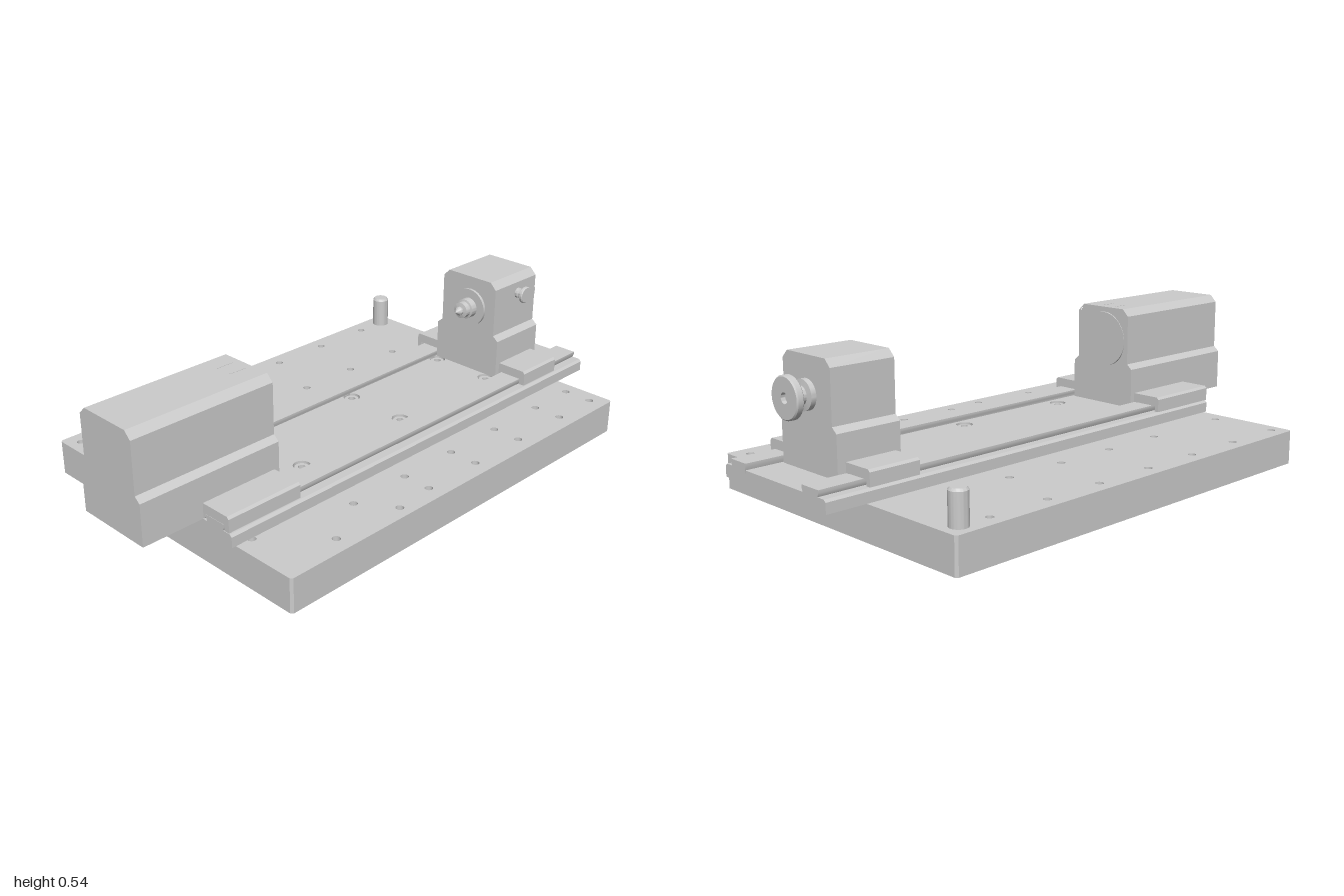
import * as THREE from 'three';
import { toCreasedNormals } from 'three/addons/utils/BufferGeometryUtils.js';

const material = new THREE.MeshStandardMaterial({ color: 0xcccccc });
const AXIS_Y = 0.412, AXIS_Z = 0.072;

function part(name, geometry, parent) {
  const mesh = new THREE.Mesh(toCreasedNormals(geometry, 0.6), material);
  mesh.name = name;
  parent.add(mesh);
  return mesh;
}

function group(name, parent) {
  const g = new THREE.Group();
  g.name = name;
  parent.add(g);
  return g;
}

function shapeWithHoles(points, holes) {
  const shape = new THREE.Shape(points.map(([a, b]) => new THREE.Vector2(a, b)));
  for (const [a, b, r] of holes) {
    shape.holes.push(new THREE.Path().absarc(a, b, r, 0, Math.PI * 2, true));
  }
  return shape;
}

// Section of [z, y] points swept along x; holes are [z, y, radius]
function sweepX(points, x0, x1, holes = []) {
  const shape = shapeWithHoles(points.map(([z, y]) => [-z, y]), holes.map(([z, y, r]) => [-z, y, r]));
  return new THREE.ExtrudeGeometry(shape, { depth: x1 - x0, bevelEnabled: false, curveSegments: 24 })
    .rotateY(Math.PI / 2).translate(x0, 0, 0);
}

// Flat plate with vertical holes given as [x, z, radius] and clipped corners
function plate(x0, x1, z0, z1, y0, y1, holes, c = 0) {
  const a = -z1, b = -z0;
  const outline = c
    ? [[x0 + c, a], [x1 - c, a], [x1, a + c], [x1, b - c], [x1 - c, b], [x0 + c, b], [x0, b - c], [x0, a + c]]
    : [[x0, a], [x1, a], [x1, b], [x0, b]];
  const shape = shapeWithHoles(outline, holes.map(([x, z, r]) => [x, -z, r]));
  return new THREE.ExtrudeGeometry(shape, { depth: y1 - y0, bevelEnabled: false, curveSegments: 8 })
    .rotateX(-Math.PI / 2).translate(0, y0, 0);
}

// Turned part: [radius, height] points
function turned(points, segments = 40) {
  return new THREE.LatheGeometry(points.map(([r, h]) => new THREE.Vector2(r, h)), segments);
}
const turnedX = (points) => turned(points).rotateZ(-Math.PI / 2).translate(0, AXIS_Y, AXIS_Z);

// Shouldered housing section shared by headstock and tailstock
const housing = [
  [0.215, 0.168], [0.215, 0.313], [0.194, 0.331], [0.194, 0.51], [0.169, 0.535],
  [-0.026, 0.535], [-0.051, 0.51], [-0.051, 0.331], [-0.072, 0.313], [-0.072, 0.168],
];
const pinHoles = [[0.2, 0.222, 0.008], [-0.057, 0.222, 0.008]];

// Saddle section straddling both rails
const saddle = [
  [0.333, 0.168], [0.333, 0.214], [0.325, 0.222], [-0.18, 0.222], [-0.188, 0.214], [-0.188, 0.168],
  [-0.172, 0.168], [-0.172, 0.189], [-0.086, 0.189], [-0.086, 0.178], [-0.073, 0.168],
  [0.216, 0.168], [0.226, 0.178], [0.226, 0.189], [0.312, 0.189], [0.312, 0.168],
];

// Raised rail and ledge; side = 1 for the front rail, -1 for the rear
function rail(side) {
  const centre = 0.077;
  const half = [
    [0.15, 0.122], [0.267, 0.122], [0.267, 0.158], [0.259, 0.166], [0.228, 0.166],
    [0.233, 0.178], [0.233, 0.188], [0.15, 0.188], [0.15, 0.178], [0.155, 0.166],
  ];
  return half.map(([d, y]) => [centre + side * d, y]);
}

export function createModel() {
  const model = new THREE.Group();
  model.name = 'rotaryMachineBed';

  // Base plate drilled in rows
  const boltXs = [-0.339, 0.136, 0.611], boltZs = [-0.053, 0.185];
  const cols = [-0.339, -0.099, 0.136, 0.371, 0.611];
  const rows = [
    [-0.53, [-0.713, -0.478, -0.248, -0.019, 0.216, 0.446, 0.68]],
    [-0.29, [-0.7, ...cols]],
    [-0.053, cols],
    [0.185, cols],
    [0.347, [-0.7]],
    [0.42, [...cols, 0.8]],
    [0.525, [-0.52, ...cols.slice(1), 0.8]],
    [0.54, [-0.254]],
  ];
  const drill = rows.flatMap(([z, xs]) => xs.map((x) => [x, z, 0.014]));
  part('basePlate', plate(-0.76, 0.855, -0.585, 0.585, 0, 0.122, drill, 0.008), model);

  // Corner post
  part('cornerPost', turned([[0, 0.12], [0.031, 0.12], [0.031, 0.23], [0.025, 0.238], [0, 0.238]])
    .translate(0.795, 0, -0.528), model);

  // Slide bed: bored centre slab, two rails, recessed bolts
  const bed = group('slideBed', model);
  const bolts = boltXs.flatMap((x) => boltZs.map((z) => [x, z, 0.03]));
  part('bedSlab', plate(-0.775, 1, -0.076, 0.23, 0.122, 0.166, bolts), bed);
  part('frontRail', sweepX(rail(1), -0.775, 1), bed);
  part('rearRail', sweepX(rail(-1).reverse(), -0.775, 1), bed);
  for (const [x, z] of bolts) {
    part('bedBolt', turned([[0.013, 0.15], [0.013, 0.122], [0.025, 0.122], [0.025, 0.16], [0.013, 0.16], [0.013, 0.15]], 20)
      .translate(x, 0, z), bed);
  }

  // Headstock with a shallow round recess in its inner face
  const head = group('headstock', model);
  const corners = [[0.176, 0.513], [-0.032, 0.513], [0.176, 0.312], [-0.032, 0.312]].map(([z, y]) => [z, y, 0.008]);
  part('headHousing', sweepX(housing, -1, -0.477), head);
  part('headFacePlate', sweepX(housing, -0.477, -0.465, [[AXIS_Z, AXIS_Y, 0.107], ...corners, ...pinHoles]), head);
  part('headSpindleFace', turnedX([[0, -0.478], [0.102, -0.478], [0.102, -0.469], [0, -0.469]]), head);
  part('headSaddle', sweepX(saddle, -0.775, -0.485), head);
  for (const z of [0.037, 0.096]) {
    part('indexMark', new THREE.BoxGeometry(0.062, 0.002, 0.004).translate(-0.522, 0.535, z), head);
  }

  // Tailstock with a recessed ring around the centre
  const tail = group('tailstock', model);
  part('tailHousing', sweepX(housing, 0.642, 0.87, pinHoles), tail);
  part('tailFacePlate', sweepX(housing, 0.63, 0.642, [[AXIS_Z, AXIS_Y, 0.085], ...pinHoles]), tail);
  part('tailFaceRing', turnedX([[0, 0.632], [0.07, 0.632], [0.07, 0.645], [0, 0.645]]), tail);
  part('tailSaddle', sweepX(saddle, 0.65, 0.84), tail);

  // Pointed centre
  part('tailCentre', turnedX([
    [0, 0.553], [0.016, 0.573], [0.016, 0.58], [0.03, 0.583], [0.03, 0.604],
    [0.037, 0.606], [0.037, 0.64], [0, 0.64],
  ]), tail);

  // Handwheel with a dished hub
  part('handwheel', turnedX([
    [0, 0.865], [0.05, 0.865], [0.05, 0.888], [0.03, 0.891], [0.03, 0.915], [0.045, 0.925], [0.066, 0.925],
    [0.07, 0.929], [0.07, 0.947], [0.066, 0.951], [0.018, 0.951], [0.018, 0.935], [0, 0.935],
  ]), tail);

  // Locking knob on the front side
  part('lockKnob', turned([
    [0, 0.19], [0.019, 0.19], [0.019, 0.203], [0.012, 0.207], [0.014, 0.216],
    [0.024, 0.222], [0.031, 0.224], [0.031, 0.232], [0.028, 0.235], [0, 0.235],
  ]).rotateX(Math.PI / 2).translate(0.765, 0.467, 0), tail);

  return model;
}
